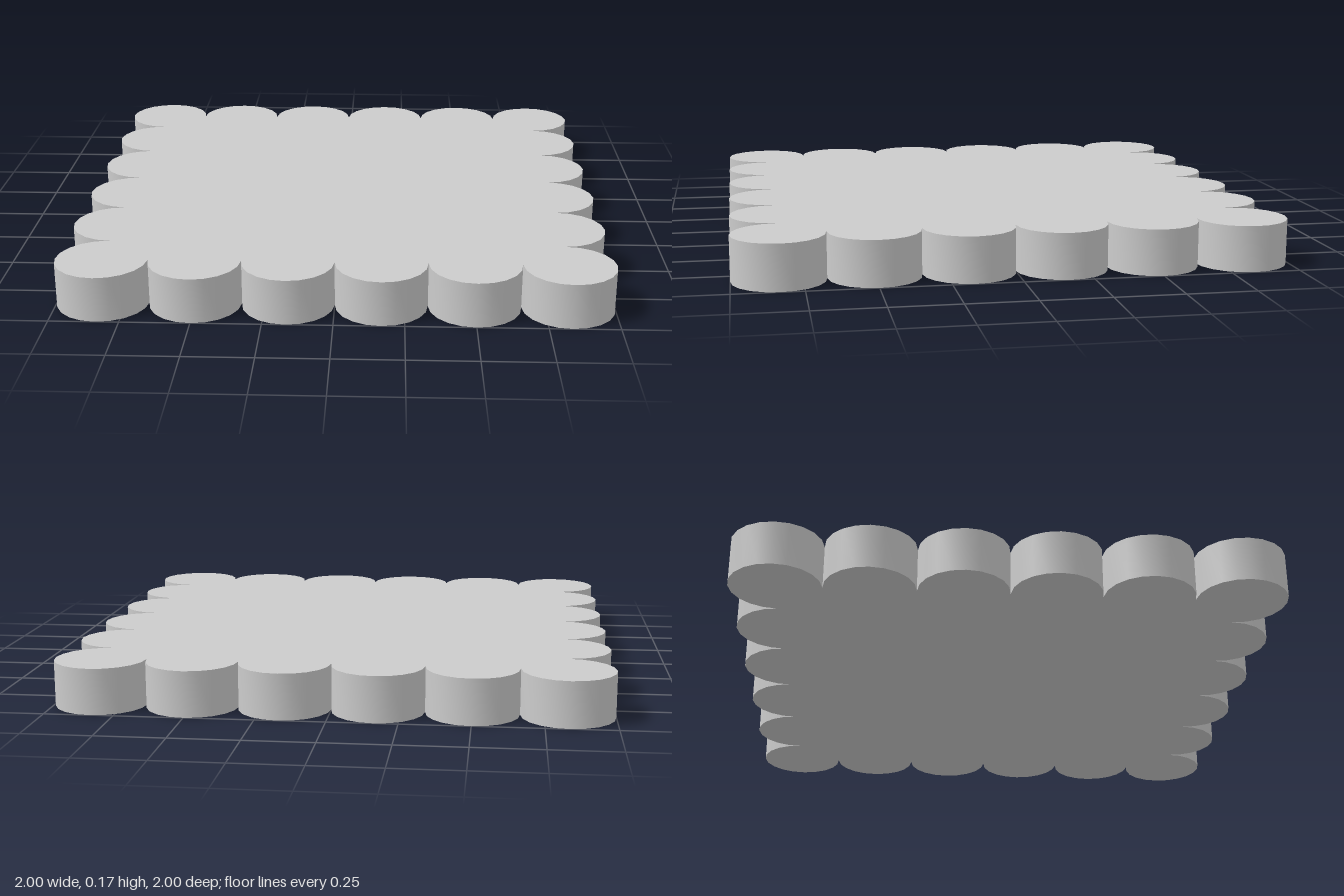
import * as THREE from 'three';
import { toCreasedNormals } from 'three/addons/utils/BufferGeometryUtils.js';

const LOBES = 6;            // lobes along each side
const R = 1 / LOBES;        // lobe radius
const HEIGHT = 1 / 6;
const STEP = Math.PI / 10;  // 20 segments per full circle

// Scalloped square: half-circle lobes along the sides, three-quarter circles at the corners
function scallopedOutline() {
  const points = [];
  for (let side = 0; side < 4; side++) {
    const turn = side * Math.PI / 2;
    for (let i = 1; i < LOBES; i++) {
      const segments = i === LOBES - 1 ? 15 : 10;
      const cy = -1 + R + i * 2 * R;
      // The last point of each lobe is the first of the next
      for (let k = 0; k < segments; k++) {
        const a = -Math.PI / 2 + k * STEP;
        const p = new THREE.Vector2(1 - R + R * Math.cos(a), cy + R * Math.sin(a));
        points.push(p.rotateAround(new THREE.Vector2(), turn));
      }
    }
  }
  return new THREE.Shape(points);
}

export function createModel() {
  const group = new THREE.Group();
  group.name = 'scallopedTile';

  // Flat slab with smooth lobes and sharp rims
  const slab = new THREE.ExtrudeGeometry(scallopedOutline(), { depth: HEIGHT, bevelEnabled: false });
  slab.rotateX(-Math.PI / 2);
  const mesh = new THREE.Mesh(
    toCreasedNormals(slab, 0.6),
    new THREE.MeshStandardMaterial({ color: 0xcccccc })
  );
  mesh.name = 'slab';
  group.add(mesh);
  return group;
}
